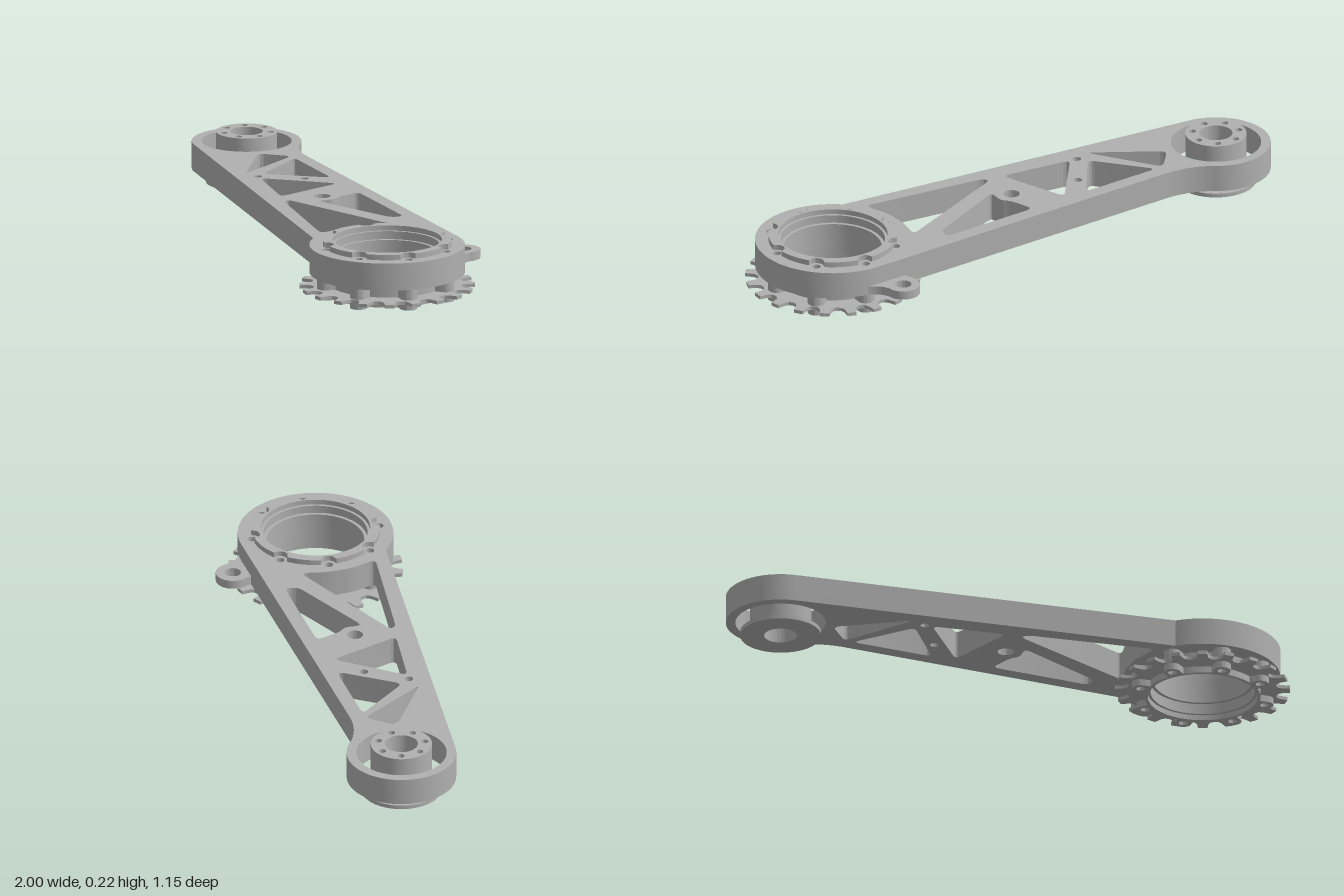
import * as THREE from 'three';
import { toCreasedNormals } from 'three/addons/utils/BufferGeometryUtils.js';

const TAU = Math.PI * 2;
const HUB = [0.68, 0.255];      // large hub centre (x, z)
const PIVOT = [-0.8, -0.375];   // small hub centre (x, z)
const BOLT_R = 0.237;

const metal = new THREE.MeshStandardMaterial({ color: 0xb0b0b0 });
metal.name = 'grey metal';

function part(name, geometry) {
  const mesh = new THREE.Mesh(toCreasedNormals(geometry, 0.5), metal);
  mesh.name = name;
  return mesh;
}

// Plate drawn in plan (x, z) and filling the height from y0 to y1
function plate(name, shape, y0, y1) {
  const g = new THREE.ExtrudeGeometry(shape, { depth: y1 - y0, bevelEnabled: false, curveSegments: 32 });
  g.rotateX(Math.PI / 2).translate(0, y1, 0);
  return part(name, g);
}

// Closed profile (radius, y) turned around a vertical axis
function turned(name, profile, [x, z]) {
  const pts = [...profile, profile[0]].map(([r, y]) => new THREE.Vector2(r, y));
  return part(name, new THREE.LatheGeometry(pts, 64).translate(x, 0, z));
}

function circle([x, z], r) {
  return new THREE.Path().absarc(x, z, r, 0, TAU, false);
}

function ringOfHoles([x, z], count, radius, r, start) {
  return Array.from({ length: count }, (_, i) => {
    const a = start + (i * TAU) / count;
    return circle([x + radius * Math.cos(a), z + radius * Math.sin(a)], r);
  });
}

const boltHoles = () => ringOfHoles(HUB, 8, BOLT_R, 0.016, Math.PI / 8);

// Polygon with rounded corners
function roundedPath(points, radius) {
  const path = new THREE.Path();
  const v = points.map(([x, y]) => new THREE.Vector2(x, y));
  v.forEach((p, i) => {
    const toward = (q) => p.clone().lerp(q, Math.min(radius / p.distanceTo(q), 0.45));
    const a = toward(v[(i + v.length - 1) % v.length]);
    const b = toward(v[(i + 1) % v.length]);
    if (i) path.lineTo(a.x, a.y);
    else path.moveTo(a.x, a.y);
    path.quadraticCurveTo(p.x, p.y, b.x, b.y);
  });
  path.closePath();
  return path;
}

// Round outline cut (side -1) or swollen (side +1) around each bolt
function boltedOutline(base, bossR, side) {
  const shape = new THREE.Shape();
  const n = 256;
  shape.setFromPoints(Array.from({ length: n }, (_, i) => {
    const a = (i * TAU) / n;
    const d = (a % (TAU / 8)) - TAU / 16;
    const s = bossR ** 2 - (BOLT_R * Math.sin(d)) ** 2;
    let r = base;
    if (s > 0) {
      const edge = BOLT_R * Math.cos(d) + side * Math.sqrt(s);
      r = side > 0 ? Math.max(base, edge) : Math.min(base, edge);
    }
    return new THREE.Vector2(HUB[0] + r * Math.cos(a), HUB[1] + r * Math.sin(a));
  }));
  return shape;
}

function armShape() {
  const s = new THREE.Shape();
  s.absarc(...PIVOT, 0.2, 2.0, 5.69, false);
  s.quadraticCurveTo(-0.58, -0.42, -0.49, -0.39);
  s.absarc(...HUB, 0.284, -1.27, 2.62, false);
  s.closePath();
  // Lightening windows between the struts
  const windows = [
    [[-0.63, -0.28], [-0.52, -0.345], [-0.44, -0.05]],
    [[-0.49, -0.335], [-0.19, -0.245], [-0.395, -0.095]],
    [[-0.355, -0.045], [-0.11, -0.205], [-0.105, 0.075]],
    [[0.04, -0.175], [0.41, -0.065], [0.39, -0.02], [0.04, 0.02], [0.04, 0], [0.058, -0.04], [0.04, -0.075]],
    [[-0.045, 0.09], [0.47, 0.045], [0.42, 0.13], [0.394, 0.22], [0.395, 0.325], [-0.04, 0.118]],
  ];
  s.holes.push(
    ...windows.map((w) => roundedPath(w, 0.03)),
    circle([-0.38, -0.056], 0.016), circle([-0.245, -0.163], 0.016), circle([-0.008, -0.04], 0.03),
    circle(PIVOT, 0.165), circle(HUB, 0.2), ...boltHoles(),
  );
  return s;
}

function sprocketShape() {
  const teeth = 20;
  const tooth = [[-0.5, 0.272], [-0.33, 0.276], [-0.23, 0.29], [-0.17, 0.32], [0.17, 0.32], [0.23, 0.29], [0.33, 0.276]];
  const pts = [];
  for (let i = 0; i < teeth; i++) {
    for (const [f, r] of tooth) {
      const a = 0.07 + ((i + f) * TAU) / teeth;
      pts.push(new THREE.Vector2(HUB[0] + r * Math.cos(a), HUB[1] + r * Math.sin(a)));
    }
  }
  const s = new THREE.Shape(pts);
  s.holes.push(circle(HUB, 0.2), ...boltHoles());
  return s;
}

export function createModel() {
  const model = new THREE.Group();
  model.name = 'linkArm';

  model.add(plate('arm', armShape(), 0.082, 0.184));

  // Side ear with a hole, low on the large hub
  const ear = new THREE.Shape();
  ear.absarc(0.71, -0.09, 0.062, Math.PI - 0.1, TAU + 0.3, false);
  ear.quadraticCurveTo(0.77, -0.03, 0.81, 0.005);
  ear.lineTo(0.65, 0);
  ear.closePath();
  ear.holes.push(circle([0.71, -0.09], 0.03));
  model.add(plate('ear', ear, 0.082, 0.115));

  // Large hub: scalloped top ring, lobed lower ring, sprocket and bearing seat
  const topRing = boltedOutline(0.235, 0.029, -1);
  topRing.holes.push(circle(HUB, 0.2));
  model.add(plate('hubTopRing', topRing, 0.184, 0.204));

  const lowerRing = boltedOutline(0.212, 0.032, 1);
  lowerRing.holes.push(circle(HUB, 0.2), ...boltHoles());
  model.add(plate('hubLowerRing', lowerRing, 0, 0.082));

  model.add(plate('sprocket', sprocketShape(), 0.025, 0.038));

  model.add(turned('bearingSeat', [
    [0.201, 0.02], [0.201, 0.185], [0.19, 0.185], [0.19, 0.155], [0.178, 0.155],
    [0.178, 0.06], [0.19, 0.06], [0.19, 0.02],
  ], HUB));

  // Small hub: flanged sleeve with a drilled top
  model.add(turned('pivotSleeve', [
    [0.148, 0.03], [0.148, 0.045], [0.112, 0.045], [0.112, 0.17], [0.06, 0.17], [0.06, 0.03],
  ], PIVOT));
  const cap = new THREE.Shape().absarc(...PIVOT, 0.112, 0, TAU, false);
  cap.holes.push(circle(PIVOT, 0.06), ...ringOfHoles(PIVOT, 7, 0.087, 0.013, -1.62));
  model.add(plate('pivotCap', cap, 0.17, 0.22));

  return model;
}
